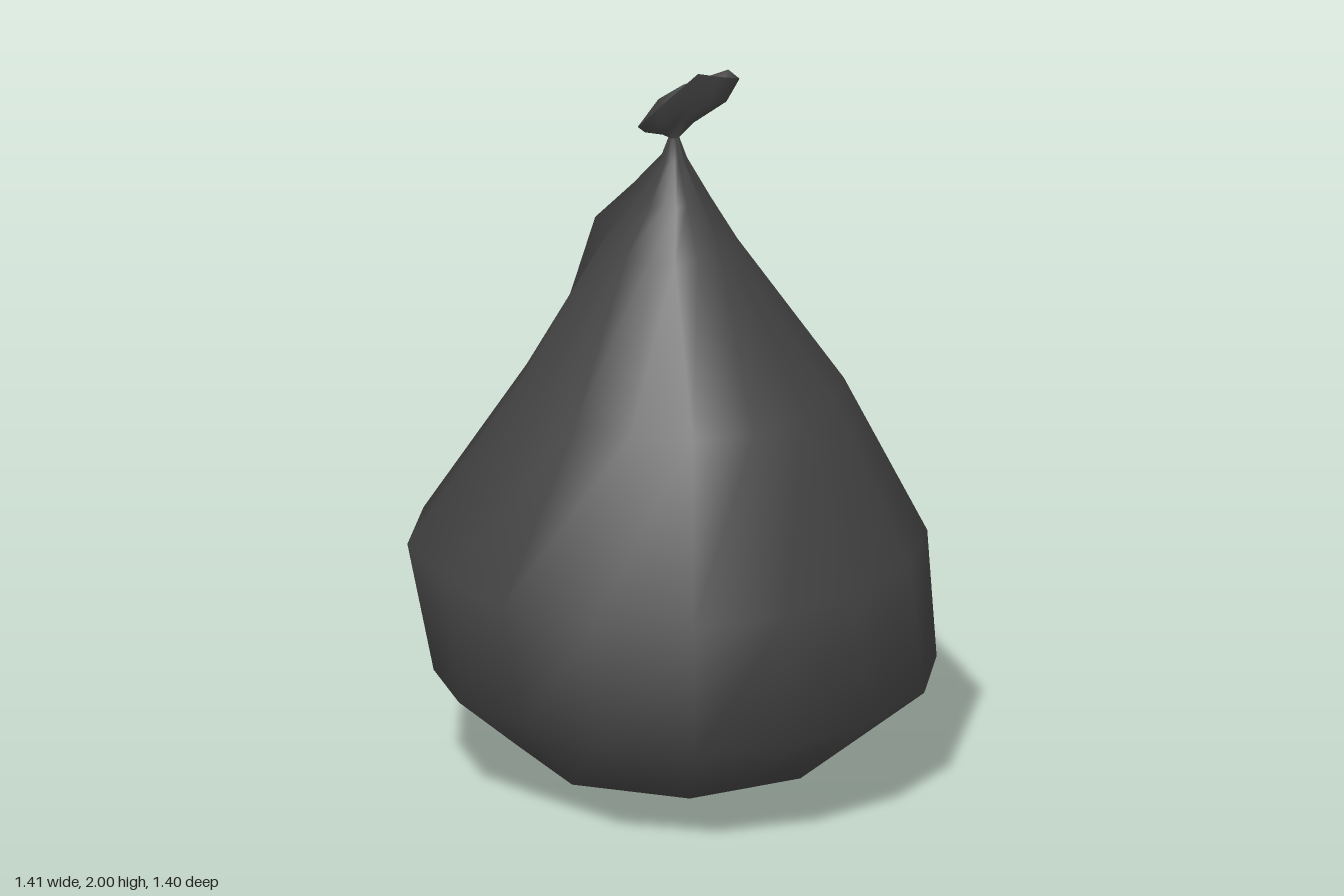
import * as THREE from 'three';

const material = new THREE.MeshStandardMaterial({ color: 0x444444, roughness: 0.8, side: THREE.DoubleSide });

// Skin a stack of closed rings (bottom to top) with smooth normals.
function loft(name, rings) {
  const n = rings[0].length;
  const index = [];
  for (let i = 0; i < rings.length - 1; i++) {
    for (let j = 0; j < n; j++) {
      const a = i * n + j, b = i * n + (j + 1) % n;
      index.push(a, a + n, b, b, a + n, b + n);
    }
  }
  const geometry = new THREE.BufferGeometry();
  geometry.setAttribute('position', new THREE.Float32BufferAttribute(rings.flat(2), 3));
  geometry.setIndex(index);
  geometry.computeVertexNormals();
  const mesh = new THREE.Mesh(geometry, material);
  mesh.name = name;
  return mesh;
}

// One ring of the sack from its radii, counted from +x towards +z
function ring(y, cx, cz, radii) {
  return radii.map((r, j) => {
    const a = (j / radii.length) * Math.PI * 2;
    return [cx + Math.cos(a) * r, y, cz + Math.sin(a) * r];
  });
}

// Even ring with every second point drawn in, and a loose fold at the back right
const FOLD = 10;
function pleated(r, pleat, fold = 1) {
  return Array.from({ length: 16 }, (_, j) => r * (j === FOLD ? fold : 1 - (j % 2) * pleat));
}

export function createModel() {
  const group = new THREE.Group();
  group.name = 'tiedSack';

  // Sack body, with uneven rings at its widest
  const lowerBulge = [0.7, 0.7, 0.69, 0.69, 0.7, 0.67, 0.61, 0.64, 0.64, 0.66, 0.68, 0.68, 0.69, 0.7, 0.7, 0.69];
  const upperBulge = [0.675, 0.66, 0.63, 0.66, 0.68, 0.7, 0.7, 0.68, 0.71, 0.7, 0.61, 0.66, 0.7, 0.68, 0.64, 0.66];
  group.add(loft('sackBody', [
    ring(0, 0.01, 0, pleated(0.002, 0)),
    ring(0.08, 0.01, 0, pleated(0.43, 0.076)),
    ring(0.3, 0, 0, lowerBulge),
    ring(0.66, 0, 0, upperBulge),
    ring(1.09, 0.02, -0.025, pleated(0.435, 0.01, 1.02)),
    ring(1.5, -0.01, -0.015, pleated(0.18, 0.06, 1.45)),
    ring(1.63, 0, -0.005, pleated(0.095, 0.15, 1.5)),
    ring(1.74, 0, 0, pleated(0.035, 0.25, 1.2)),
    ring(1.8, 0, 0, pleated(0.014, 0)),
  ]));

  // Open crumpled mouth above the tie, flaring to an uneven rim
  const rim = [
    [0.175, 1.96, 0.0], [0.12, 1.98, 0.035], [0.06, 2.0, 0.06], [-0.05, 1.91, 0.08],
    [-0.1, 1.85, 0.05], [-0.04, 1.9, -0.02], [0.03, 1.92, -0.07], [0.15, 1.96, -0.07],
  ];
  const shrink = (s, h) => rim.map(([x, y, z]) => [x * s, 1.8 + (y - 1.8) * h, z * s]);
  const neck = rim.map(([x, , z]) => {
    const r = Math.hypot(x, z);
    return [(x / r) * 0.014, 1.8, (z / r) * 0.014];
  });
  group.add(loft('sackMouth', [neck, shrink(0.3, 0.24), shrink(0.8, 0.6), rim]));

  return group;
}
